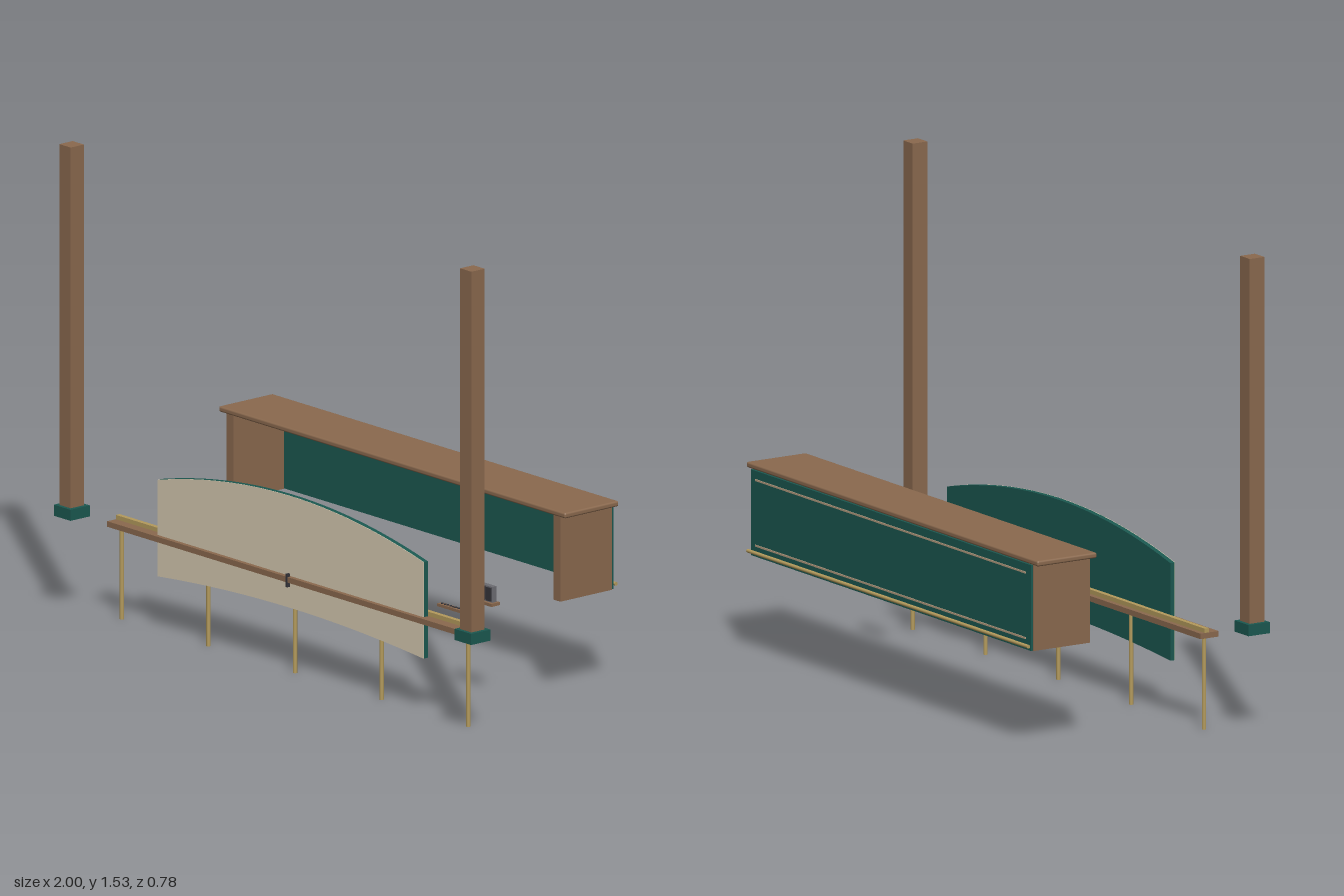
import * as THREE from 'three';
import { RoundedBoxGeometry } from 'three/addons/geometries/RoundedBoxGeometry.js';

const mat = (color) => new THREE.MeshStandardMaterial({ color });

export function createModel() {
  const group = new THREE.Group();
  const wood = mat(0x8a694e), teal = mat(0x1b5850), cream = mat(0xd5c9b0);
  const brass = mat(0xb39a5c), tan = mat(0xb39c80), grey = mat(0x6c6c72), dark = mat(0x35343a);

  const add = (name, geometry, material, x = 0, y = 0, z = 0) => {
    const mesh = new THREE.Mesh(geometry, material);
    mesh.name = name;
    mesh.position.set(x, y, z);
    group.add(mesh);
    return mesh;
  };
  // Box given by its lower and upper limits on each axis
  const box = (name, material, [x0, x1], [y0, y1], [z0, z1], radius = 0) => {
    const size = [x1 - x0, y1 - y0, z1 - z0];
    const geometry = radius ? new RoundedBoxGeometry(...size, 3, radius) : new THREE.BoxGeometry(...size);
    return add(name, geometry, material, (x0 + x1) / 2, (y0 + y1) / 2, (z0 + z1) / 2);
  };
  const rod = (name, material, radius, length, x, y, z, axis = 'y') => {
    const geometry = new THREE.CylinderGeometry(radius, radius, length, 16);
    if (axis === 'x') geometry.rotateZ(Math.PI / 2);
    if (axis === 'z') geometry.rotateX(Math.PI / 2);
    return add(name, geometry, material, x, y, z);
  };

  // Tall square posts on plinths
  for (const s of [-1, 1]) {
    const x = s * 0.96;
    box('post', wood, [x - 0.027, x + 0.027], [0.324, 1.535], [0.323, 0.378]);
    box('postBase', teal, [x - 0.04, x + 0.04], [0.325, 0.361], [0.31, 0.39]);
  }

  // Rear counter, open towards the front
  box('counterTop', wood, [-0.83, 0.83], [0.602, 0.62], [-0.37, -0.146], 0.006);
  for (const s of [-1, 1]) {
    const x = s * 0.783;
    box('counterSide', wood, [x - 0.017, x + 0.017], [0.325, 0.602], [-0.366, -0.153]);
  }
  box('counterBackPanel', teal, [-0.798, 0.798], [0.326, 0.602], [-0.374, -0.363]);
  for (const y of [0.573, 0.362]) {
    box('backTrim', tan, [-0.77, 0.77], [y - 0.003, y + 0.003], [-0.377, -0.373]);
  }
  rod('footRail', brass, 0.006, 1.6, 0, 0.341, -0.384, 'x');
  for (const x of [-0.7, -0.35, 0, 0.35, 0.7]) rod('railBracket', brass, 0.003, 0.014, x, 0.341, -0.378, 'z');

  // Arched panel, pale on its front face
  const arch = new THREE.Shape();
  arch.moveTo(-0.637, 0.183);
  arch.quadraticCurveTo(0, 0.245, 0.637, 0.183);
  arch.lineTo(0.637, 0.497);
  arch.quadraticCurveTo(0, 0.659, -0.637, 0.497);
  arch.closePath();
  const slab = (depth) => new THREE.ExtrudeGeometry(arch, { depth, bevelEnabled: false, curveSegments: 40 });
  add('archedPanel', slab(0.016), teal, 0, 0, 0.256);
  add('archedPanelFace', slab(0.002), cream, 0, 0, 0.272);

  // Long beam with a brass rail, on slim legs
  box('beam', wood, [-0.861, 0.861], [0.3, 0.318], [0.221, 0.289]);
  box('beamRail', brass, [-0.861, 0.861], [0.318, 0.332], [0.237, 0.253]);
  for (const x of [-0.83, -0.415, 0, 0.415, 0.83]) rod('leg', brass, 0.007, 0.302, x, 0.151, 0.255);

  // Handle and catch at the middle of the beam
  rod('handle', dark, 0.003, 0.075, 0, 0.327, 0.232, 'z');
  box('catch', dark, [-0.004, 0.004], [0.285, 0.328], [0.28, 0.291]);

  // Divided holder on a tray
  box('holderTray', wood, [0.573, 0.7], [0.323, 0.333], [0.012, 0.047]);
  box('holderBody', grey, [0.584, 0.691], [0.333, 0.384], [0.018, 0.036]);
  for (let i = 0; i < 4; i++) {
    const x = 0.598 + i * 0.0263;
    box('holderPocket', dark, [x - 0.01, x + 0.01], [0.337, 0.38], [0.035, 0.04]);
  }

  // Small rack with a row of pegs
  box('rack', wood, [0.58, 0.699], [0.323, 0.332], [0.148, 0.168]);
  for (let i = 0; i < 8; i++) rod('rackPeg', dark, 0.004, 0.004, 0.594 + i * 0.013, 0.333, 0.158);

  return group;
}
